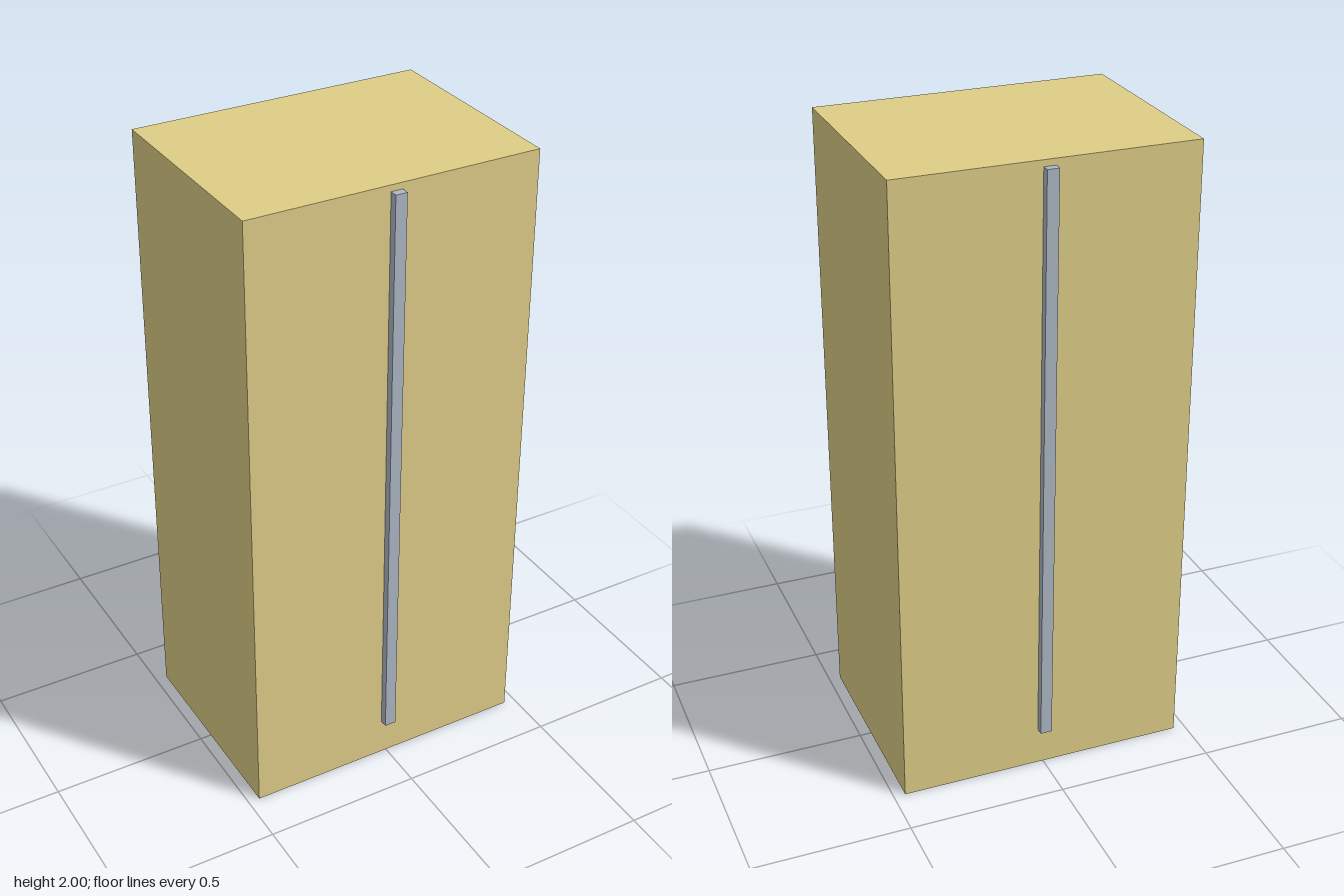
import * as THREE from 'three';

export function createModel() {
  const model = new THREE.Group();
  const bodyMaterial = new THREE.MeshStandardMaterial({ color: 0xdecd87 });
  const stripMaterial = new THREE.MeshStandardMaterial({ color: 0xadb7c4 });

  function addBox(name, size, position, material) {
    const mesh = new THREE.Mesh(new THREE.BoxGeometry(...size), material);
    mesh.position.set(...position);
    mesh.name = name;
    model.add(mesh);
  }

  // Tall cabinet block
  const halfDepth = 0.341, stripFace = 0.366;
  addBox('body', [0.926, 2, halfDepth * 2], [0, 1, 0], bodyMaterial);

  // Vertical strips on the front and back, set slightly into the body
  const bottom = 0.126, top = 1.98, inset = 0.01;
  const thickness = stripFace - halfDepth + inset;
  for (const [name, side] of [['frontStrip', 1], ['backStrip', -1]]) {
    addBox(name, [0.037, top - bottom, thickness],
      [0, (top + bottom) / 2, side * (stripFace - thickness / 2)], stripMaterial);
  }

  return model;
}
